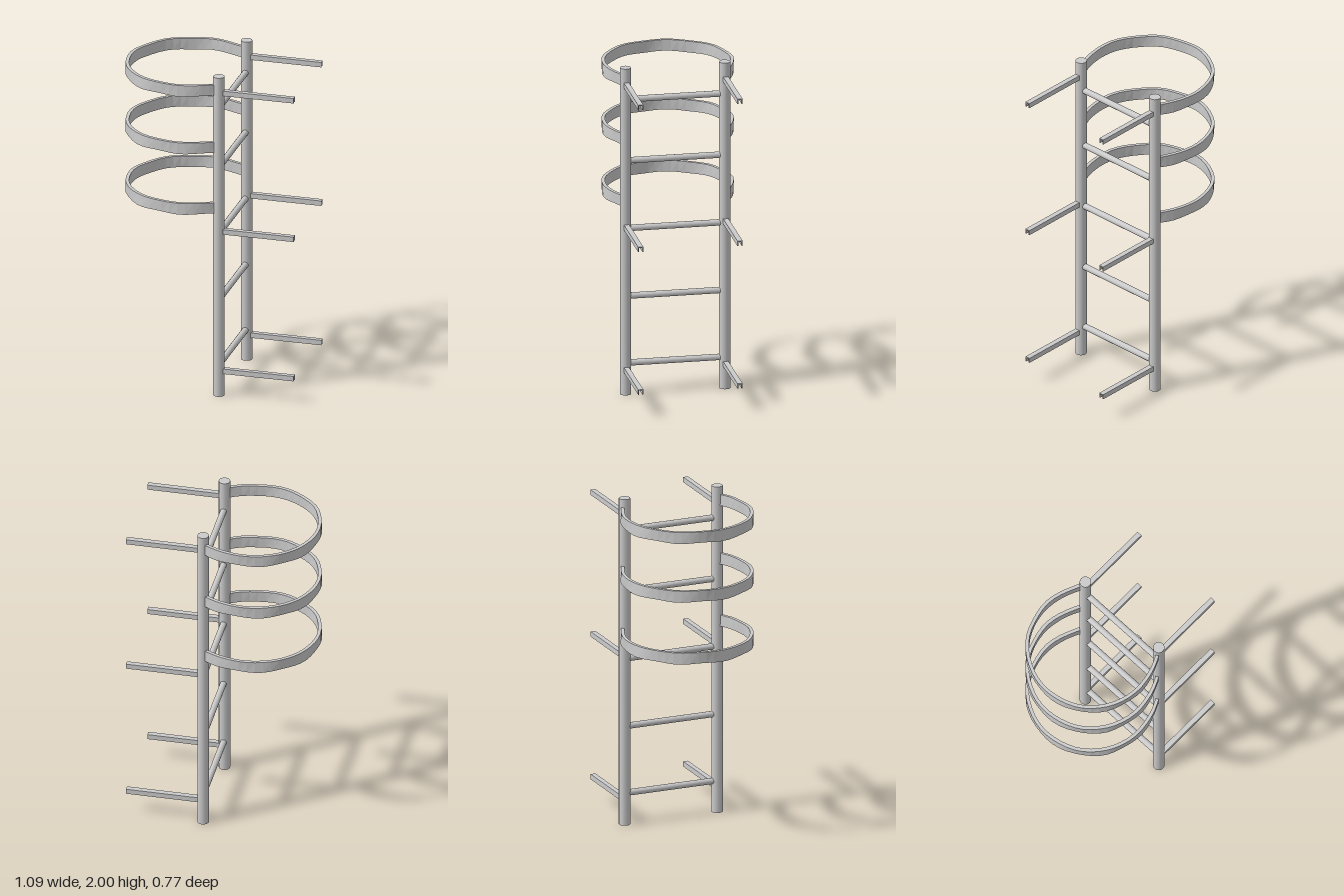
import * as THREE from 'three';

const POLE_X = 0.09, FRONT_Z = 0.3, BACK_Z = -0.29;

export function createModel() {
  const model = new THREE.Group();
  const smooth = new THREE.MeshStandardMaterial({ color: 0xcccccc });
  const faceted = new THREE.MeshStandardMaterial({ color: 0xcccccc, flatShading: true, side: THREE.DoubleSide });

  const add = (name, geometry, material, x, y, z) => {
    const mesh = new THREE.Mesh(geometry, material);
    mesh.name = name;
    mesh.position.set(x, y, z);
    model.add(mesh);
    return mesh;
  };

  // Uprights and the wall brackets fixed to them
  const poleGeometry = new THREE.CylinderGeometry(0.034, 0.034, 2, 14);
  const bracketGeometry = createBracketGeometry(0.435, 0.031, 0.006);
  for (const [side, z] of [['front', FRONT_Z], ['back', BACK_Z]]) {
    add(side + 'Pole', poleGeometry, smooth, POLE_X, 1, z);
    for (const y of [0.155, 1.03, 1.9]) add(side + 'Bracket', bracketGeometry, faceted, 0.112, y, z);
  }

  // Rungs between the uprights
  const rungGeometry = new THREE.CylinderGeometry(0.019, 0.019, FRONT_Z - BACK_Z - 0.03, 12);
  rungGeometry.rotateX(Math.PI / 2);
  for (const y of [0.19, 0.6, 1.015, 1.43, 1.805]) {
    add('rung', rungGeometry, smooth, POLE_X, y, (FRONT_Z + BACK_Z) / 2);
  }

  // Safety cage hoops
  const hoopGeometry = createHoopGeometry(0.068, 0.02);
  for (const y of [1.177, 1.557, 1.917]) add('safetyHoop', hoopGeometry, faceted, 0, y, 0);

  return model;
}

// Channel bar along +x, open underneath
function createBracketGeometry(length, size, wall) {
  const h = size / 2, i = h - wall;
  const shape = new THREE.Shape(
    [[-h, -h], [-i, -h], [-i, i], [i, i], [i, -h], [h, -h], [h, h], [-h, h]].map(([x, y]) => new THREE.Vector2(x, y))
  );
  const geometry = new THREE.ExtrudeGeometry(shape, { depth: length, bevelEnabled: false });
  return geometry.rotateY(Math.PI / 2);
}

// Flat bar swept round from the front pole to the back pole, slightly uneven along its edges
function createHoopGeometry(height, thickness) {
  const half = [[0.08, 0.305], [0, 0.343], [-0.08, 0.367], [-0.165, 0.376], [-0.27, 0.358],
    [-0.37, 0.313], [-0.46, 0.229], [-0.517, 0.12]];
  const points = [
    ...half.map(([x, z]) => new THREE.Vector3(x, 0, z)),
    new THREE.Vector3(-0.537, 0, 0),
    ...half.slice().reverse().map(([x, z]) => new THREE.Vector3(x, 0, -z)),
  ];
  const curve = new THREE.CatmullRomCurve3(points);
  const segments = 36, positions = [], index = [];
  for (let s = 0; s <= segments; s++) {
    const p = curve.getPointAt(s / segments), t = curve.getTangentAt(s / segments);
    const wave = 0.003 * Math.sin(s * 1.05);
    const top = height / 2 + wave * 0.5, bottom = -height / 2 + wave;
    // outer bottom, outer top, inner top, inner bottom
    for (const [side, y] of [[1, bottom], [1, top], [-1, top], [-1, bottom]]) {
      const d = side * thickness / 2 + (y > 0 ? wave : -wave) * 0.5;
      positions.push(p.x + t.z * d, y, p.z - t.x * d);
    }
    if (s === segments) break;
    for (let k = 0; k < 4; k++) {
      const a = s * 4 + k, b = s * 4 + (k + 1) % 4;
      index.push(a, b, a + 4, b, b + 4, a + 4);
    }
  }
  const geometry = new THREE.BufferGeometry();
  geometry.setAttribute('position', new THREE.Float32BufferAttribute(positions, 3));
  geometry.setIndex(index);
  geometry.computeVertexNormals();
  return geometry;
}
